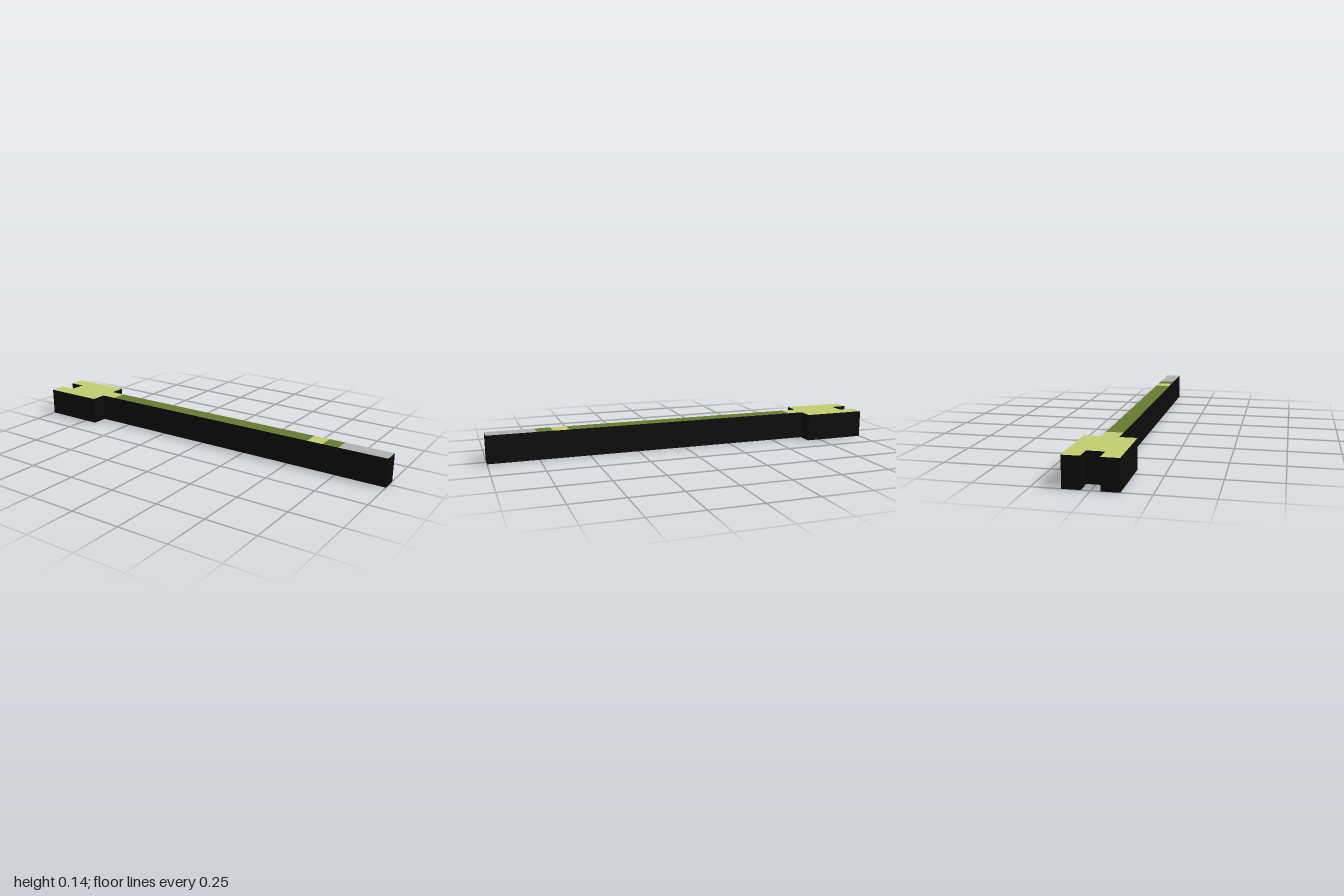
import * as THREE from 'three';

const HEIGHT = 0.14;
const W = 0.04; // half width of the shaft
const H = 0.12; // half width of the head

const black = new THREE.MeshStandardMaterial({ color: 0x0b0b0b, flatShading: true });
const lime = new THREE.MeshStandardMaterial({ color: 0xc0cb6e });
const green = new THREE.MeshStandardMaterial({ color: 0x657a30 });
const grey = new THREE.MeshStandardMaterial({ color: 0xb0b0b0 });

// Outline of the forked head with its short neck, running counter-clockwise from the upper neck corner
const head = [
  [-0.6, W], [-0.68, W], [-0.68, H], [-1, H], [-1, W], [-0.92, W],
  [-0.92, -W], [-1, -W], [-1, -H], [-0.68, -H], [-0.68, -W], [-0.6, -W],
];

const strip = (x0, x1) => [[x0, -W], [x1, -W], [x1, W], [x0, W]];

// Matching coloured faces on the top and underside
function facePair(name, outline, material) {
  const group = new THREE.Group();
  group.name = name;
  const shape = new THREE.Shape(outline.map(([x, y]) => new THREE.Vector2(x, y)));
  for (const top of [true, false]) {
    const geometry = new THREE.ShapeGeometry(shape);
    geometry.rotateX(top ? -Math.PI / 2 : Math.PI / 2);
    geometry.translate(0, top ? HEIGHT : 0, 0);
    const mesh = new THREE.Mesh(geometry, material);
    mesh.name = name + (top ? 'Top' : 'Underside');
    group.add(mesh);
  }
  return group;
}

// Upright black walls along a closed counter-clockwise outline
function walls(outline) {
  const positions = [];
  outline.forEach(([ax, ay], i) => {
    const [bx, by] = outline[(i + 1) % outline.length];
    const a0 = [ax, 0, -ay], a1 = [ax, HEIGHT, -ay];
    const b0 = [bx, 0, -by], b1 = [bx, HEIGHT, -by];
    positions.push(...a0, ...b0, ...b1, ...a0, ...b1, ...a1);
  });
  const geometry = new THREE.BufferGeometry();
  geometry.setAttribute('position', new THREE.Float32BufferAttribute(positions, 3));
  geometry.computeVertexNormals();
  const mesh = new THREE.Mesh(geometry, black);
  mesh.name = 'sideWalls';
  return mesh;
}

export function createModel() {
  const model = new THREE.Group();
  model.name = 'forkedRod';
  model.add(
    walls([...head, [1, -W], [1, W]]),
    facePair('head', head, lime),
    facePair('shaft', strip(-0.6, 0.6), green),
    facePair('band', strip(0.6, 0.68), lime),
    facePair('collar', strip(0.68, 0.76), green),
    facePair('tip', strip(0.76, 1), grey),
  );
  return model;
}
